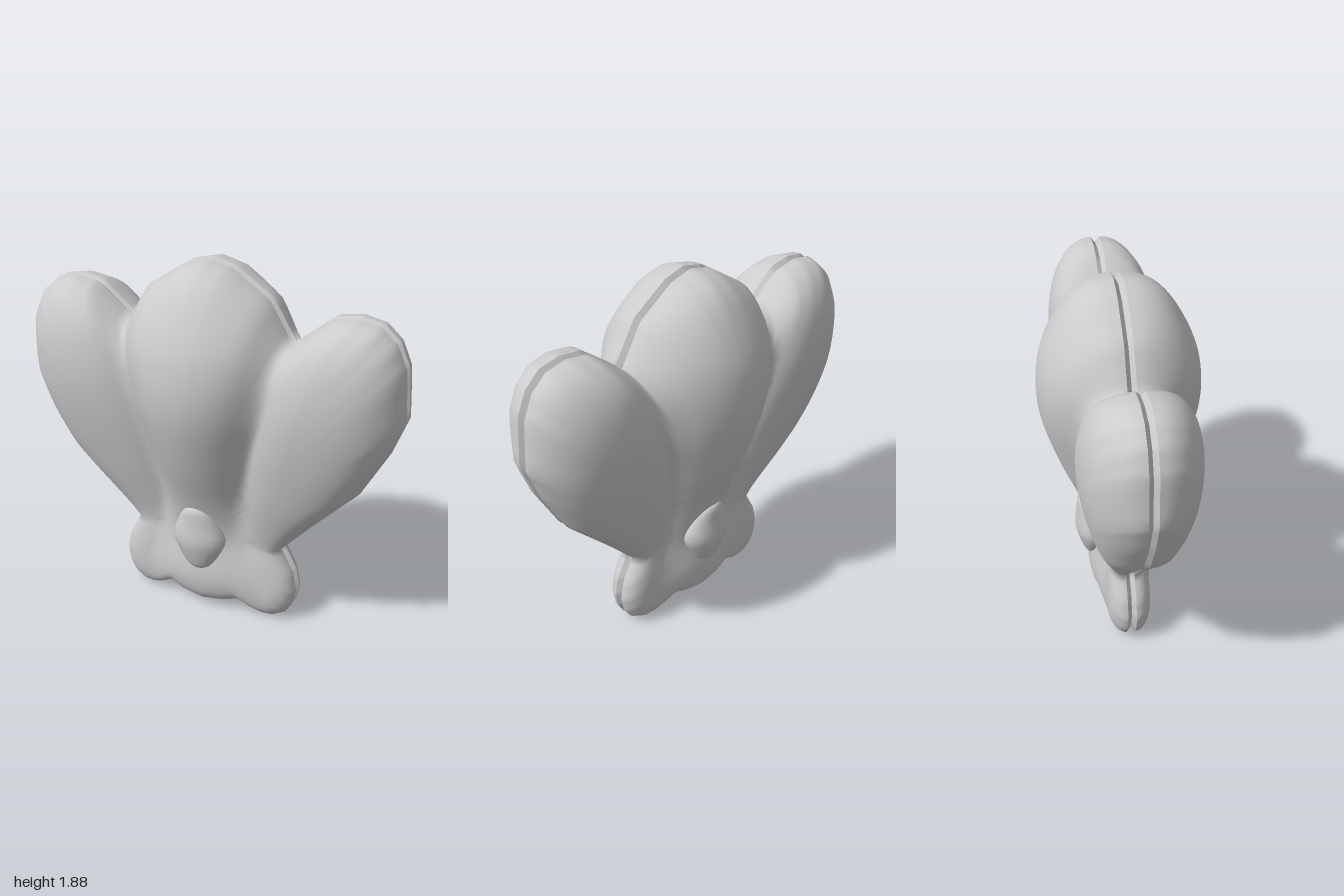
import * as THREE from 'three';

const RIM = 0.022; // half width of the gap where the two halves meet
const HUB = [0, 0.5]; // point the radial surface grid fans out from

// Half outline, bottom centre round to top centre
const HALF = [
  [0, 0.01], [0.12, 0.03], [0.21, 0.06], [0.29, 0.015], [0.34, 0], [0.39, 0.005], [0.45, 0.04], [0.485, 0.1],
  [0.5, 0.18], [0.48, 0.28], [0.41, 0.41], [0.6, 0.62], [0.81, 0.84], [0.93, 1.06], [1, 1.25],
  [0.98, 1.5], [0.93, 1.61], [0.85, 1.68], [0.74, 1.7], [0.62, 1.68], [0.43, 1.53],
  [0.31, 1.725], [0.12, 1.85], [0, 1.88],
];

// Smooth interpolation through [position, value] pairs
function profile(keys) {
  return (t) => {
    const last = keys.length - 1;
    if (t <= keys[0][0]) return keys[0][1];
    if (t >= keys[last][0]) return keys[last][1];
    let i = 0;
    while (t > keys[i + 1][0]) i++;
    const [a, va] = keys[i], [b, vb] = keys[i + 1];
    const slope = (j) => {
      const p = keys[Math.max(j - 1, 0)], q = keys[Math.min(j + 1, last)];
      return (q[1] - p[1]) / (q[0] - p[0]);
    };
    const u = (t - a) / (b - a), h = b - a, u2 = u * u, u3 = u2 * u;
    return (2 * u3 - 3 * u2 + 1) * va + (u3 - 2 * u2 + u) * h * slope(i)
      + (3 * u2 - 2 * u3) * vb + (u3 - u2) * h * slope(i + 1);
  };
}

const midDepth = profile([[0, 0.135], [0.19, 0.163], [0.43, 0.145], [0.63, 0.2], [0.92, 0.315], [1.22, 0.395], [1.47, 0.385], [1.73, 0.3], [1.88, 0.26]]);
const midWidth = profile([[0, 0.36], [0.2, 0.34], [0.4, 0.28], [0.63, 0.25], [0.92, 0.3], [1.22, 0.385], [1.53, 0.45], [1.88, 0.4]]);
const sideDepth = profile([[-0.3, 0], [0, 0.085], [0.16, 0.1], [0.5, 0.19], [0.8, 0.255], [1.03, 0.28], [1.25, 0.265], [1.49, 0.21]]);
const sideWidth = profile([[-0.3, 0.18], [0.16, 0.19], [0.5, 0.32], [0.7, 0.39], [1, 0.42], [1.49, 0.42]]);
const arc = (s) => Math.sqrt(Math.max(0, 1 - s * s));

// Depth of the blended lobes at a point: middle lobe, side lobe and foot
function depth(x, y) {
  const ax = Math.abs(x);
  const mid = midDepth(y) * arc(ax / midWidth(y));
  const dx = ax - 0.24, dy = y - 0.3;
  const t = dx * 0.336 + dy * 0.942, s = dx * 0.942 - dy * 0.336;
  const side = sideDepth(t) * arc(s / (sideWidth(t) * (s < 0 ? 0.75 : 1.1)));
  const foot = 0.112 * arc(Math.hypot((ax - 0.36) / 0.21, (y - 0.17) / 0.3));
  return Math.pow(mid ** 4 + side ** 4 + foot ** 4, 1 / 4);
}

// Full closed outline, with each edge subdivided
function makeOutline() {
  const corners = [...HALF, ...HALF.slice(1, -1).reverse().map(([x, y]) => [-x, y])];
  const out = [];
  corners.forEach(([x, y], i) => {
    const [nx, ny] = corners[(i + 1) % corners.length];
    for (let k = 0; k < 4; k++) out.push([x + (nx - x) * k / 4, y + (ny - y) * k / 4]);
  });
  return out;
}

// Joins equal closed rings of points, with an optional hub in the middle of the first
function ringSurface(rings, hub) {
  const n = rings[0].length, index = [];
  const points = rings.flat();
  for (let r = 0; r + 1 < rings.length; r++) {
    for (let i = 0; i < n; i++) {
      const j = (i + 1) % n, a = r * n + i, b = r * n + j;
      index.push(a, a + n, b + n, a, b + n, b);
    }
  }
  if (hub) {
    for (let i = 0; i < n; i++) index.push(points.length, i, (i + 1) % n);
    points.push(hub);
  }
  const geometry = new THREE.BufferGeometry();
  geometry.setAttribute('position', new THREE.Float32BufferAttribute(points.flat(), 3));
  geometry.setIndex(index);
  geometry.computeVertexNormals();
  return geometry;
}

function shellGeometry(outline) {
  const rings = [], steps = 36;
  for (let k = 1; k <= steps; k++) {
    const rho = 1 - Math.pow(1 - k / steps, 1.7);
    const edge = Math.sqrt(1 - Math.pow(rho, 14));
    rings.push(outline.map(([ox, oy]) => {
      const x = HUB[0] + (ox - HUB[0]) * rho, y = HUB[1] + (oy - HUB[1]) * rho;
      return [x, y, RIM + Math.max(0, depth(x, y) - RIM) * edge];
    }));
  }
  return ringSurface(rings, [...HUB, depth(...HUB)]);
}

// Sloped wall from the rim in to the meeting line
function grooveGeometry(outline) {
  const inner = outline.map(([x, y]) => {
    const k = 1 - 0.03 / Math.hypot(x - HUB[0], y - HUB[1]);
    return [HUB[0] + (x - HUB[0]) * k, HUB[1] + (y - HUB[1]) * k, 0];
  });
  return ringSurface([outline.map(([x, y]) => [x, y, RIM]), inner]);
}

// Flattened egg-shaped knob whose ends lean out to sit on the shell
function knobGeometry() {
  const curve = new THREE.SplineCurve([[0, 0.25], [0.06, 0.275], [0.112, 0.35], [0.145, 0.44], [0.108, 0.54], [0.06, 0.61], [0, 0.635]]
    .map(([r, y]) => new THREE.Vector2(r, y)));
  const points = curve.getPoints(18);
  points[0].x = points[18].x = 0;
  const geometry = new THREE.LatheGeometry(points, 24, Math.PI);
  const p = geometry.attributes.position;
  for (let i = 0; i < p.count; i++) {
    const d = p.getY(i) - 0.44;
    p.setZ(i, p.getZ(i) * 0.65 + 0.137 + (d > 0 ? 1.4 : 0.4) * d * d);
  }
  geometry.computeVertexNormals();
  return geometry;
}

export function createModel() {
  const model = new THREE.Group();
  model.name = 'lobedShell';
  const material = new THREE.MeshStandardMaterial({ color: 0xcccccc });
  const open = new THREE.MeshStandardMaterial({ color: 0xcccccc, side: THREE.DoubleSide });
  const outline = makeOutline();
  const parts = [
    ['shell', shellGeometry(outline), material],
    ['rimGroove', grooveGeometry(outline), open],
    ['knob', knobGeometry(), material],
  ];
  // Front half, and the same half turned round for the back
  for (const [halfName, turn] of [['front', 0], ['back', Math.PI]]) {
    const half = new THREE.Group();
    half.name = halfName + 'Half';
    half.rotation.y = turn;
    for (const [name, geometry, mat] of parts) {
      const mesh = new THREE.Mesh(geometry, mat);
      mesh.name = name;
      half.add(mesh);
    }
    model.add(half);
  }
  return model;
}
